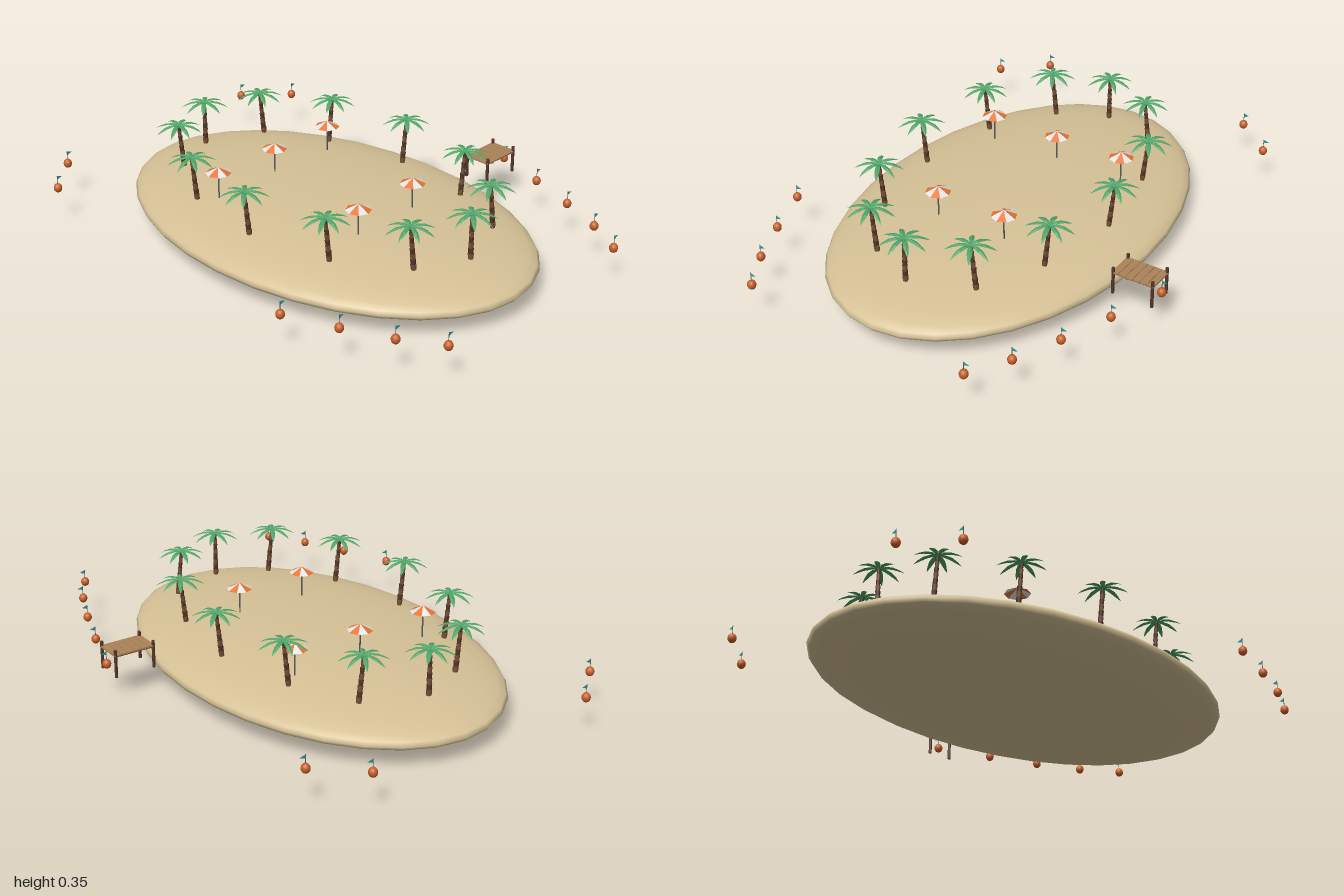
import * as THREE from 'three';

const mat = (name, color, extra = {}) => {
  const m = new THREE.MeshStandardMaterial({ color, ...extra });
  m.name = name;
  return m;
};

export function createModel() {
  const M = {
    sand: mat('sand', 0xd6c297),
    trunk: mat('trunk brown', 0x7a5236),
    dark: mat('dark wood', 0x53372a),
    leaf: mat('leaf green', 0x4fa468, { side: THREE.DoubleSide, flatShading: true }),
    orange: mat('parasol orange', 0xe87532, { side: THREE.DoubleSide, flatShading: true }),
    white: mat('parasol white', 0xe6e8ea, { side: THREE.DoubleSide, flatShading: true }),
    pole: mat('pole grey', 0x5c5c60),
    buoy: mat('buoy orange', 0xc8602a),
    flag: mat('flag teal', 0x2a9d9a, { side: THREE.DoubleSide }),
    plank: mat('plank tan', 0xab8358),
  };
  const root = new THREE.Group();
  root.name = 'islandBeach';
  const CX = -0.04;

  const add = (parent, name, geo, material, x = 0, y = 0, z = 0) => {
    const mesh = new THREE.Mesh(geo, material);
    mesh.name = name;
    mesh.position.set(x, y, z);
    parent.add(mesh);
    return mesh;
  };
  const group = (name, x, y, z) => {
    const g = new THREE.Group();
    g.name = name;
    g.position.set(x, y, z);
    root.add(g);
    return g;
  };

  // Island: flattened ellipsoid
  const island = new THREE.SphereGeometry(1, 32, 20).scale(0.58, 0.0925, 0.9);
  add(root, 'island', island, M.sand, CX, 0.0925, 0);

  // Palm frond: ridged, drooping leaf built from cross-sections [reach, height, half width]
  const sections = [[0, 0, 0.002], [0.026, 0.009, 0.009], [0.052, 0.005, 0.0095], [0.075, -0.006, 0.006], [0.092, -0.018, 0.0005]];
  const pos = [], idx = [];
  sections.forEach(([r, y, w], i) => {
    pos.push(r, y - w * 0.4, -w, r, y, 0, r, y - w * 0.4, w);
    if (i === 0) return;
    for (let k = 0; k < 2; k++) {
      const a = (i - 1) * 3 + k, b = i * 3 + k;
      idx.push(a, a + 1, b + 1, a, b + 1, b);
    }
  });
  const frond = new THREE.BufferGeometry();
  frond.setAttribute('position', new THREE.Float32BufferAttribute(pos, 3));
  frond.setIndex(idx);
  frond.computeVertexNormals();

  // Palms: twelve around an ellipse, slightly leaning banded trunks
  const BASE = 0.172, TRUNK = 0.174, BANDS = 8;
  for (let i = 0; i < 12; i++) {
    const a = (i * Math.PI) / 6;
    const c = Math.cos(a);
    const lean = Math.abs(c) < 0.1 ? 0 : c > 0.6 ? 0.02 : -0.02;
    const palm = group('palm', CX + 0.433 * c, BASE, 0.692 * Math.sin(a));
    for (let b = 0; b < BANDS; b++) {
      const t = (b + 0.5) / BANDS;
      const r = 0.0105 - 0.004 * t;
      const ring = add(palm, 'trunkBand', new THREE.CylinderGeometry(r + 0.0008, r - 0.0008, TRUNK / BANDS, 8),
        b % 2 ? M.dark : M.trunk, lean * (t - 1), TRUNK * t, 0);
      ring.rotation.z = -lean / TRUNK;
    }
    const crown = new THREE.Group();
    crown.name = 'crown';
    crown.position.y = TRUNK;
    crown.rotation.y = -a;
    palm.add(crown);
    for (let k = 0; k < 8; k++) add(crown, 'frond', frond, M.leaf).rotation.y = (k * Math.PI) / 4;
  }

  // Parasols: eight-sided canopy with alternating panels
  const panel = new THREE.ConeGeometry(0.049, 0.024, 1, 1, true, 0, Math.PI / 4);
  for (const [x, z] of [[-0.333, -0.292], [CX, -0.292], [0.25, -0.292], [-0.188, 0.29], [0.104, 0.29]]) {
    const parasol = group('parasol', x, 0, z);
    add(parasol, 'parasolPole', new THREE.CylinderGeometry(0.0028, 0.0028, 0.12, 8), M.pole, 0, 0.232, 0);
    for (let k = 0; k < 8; k++) {
      add(parasol, 'canopyPanel', panel, k % 2 ? M.white : M.orange, 0, 0.288, 0).rotation.y = (k * Math.PI) / 4;
    }
  }

  // Buoys: egg-shaped floats, each with a thin mast and pennant
  const float = new THREE.SphereGeometry(1, 14, 10).scale(0.0165, 0.0185, 0.0165);
  const pennant = new THREE.Shape([[0, 0.197], [0.023, 0.19], [0, 0.181]].map(([x, y]) => new THREE.Vector2(x, y)));
  const pennantGeo = new THREE.ShapeGeometry(pennant);
  const mast = new THREE.BoxGeometry(0.002, 0.04, 0.001);
  const spots = [[0.726, 0.23]];
  for (const [d, z] of [[0.47, -0.984], [0.631, -0.837], [0.695, 0.45], [0.621, 0.652], [0.544, 0.832], [0.455, 0.982]]) {
    spots.push([-0.043 + d, z], [-0.043 - d, z]);
  }
  for (const [x, z] of spots) {
    const buoy = group('buoy', x, 0, z);
    add(buoy, 'float', float, M.buoy, 0, 0.147, 0);
    add(buoy, 'mast', mast, M.pole, 0, 0.178, 0);
    add(buoy, 'pennant', pennantGeo, M.flag);
  }

  // Dock: planked deck on four posts
  const dock = group('dock', 0.637, 0, 0.229);
  for (let i = 0; i < 6; i++) {
    add(dock, 'plank', new THREE.BoxGeometry(0.0265, 0.006, 0.112), M.plank, (i - 2.5) * 0.0285, 0.196, 0);
  }
  for (const s of [-1, 1]) {
    add(dock, 'beam', new THREE.BoxGeometry(0.16, 0.006, 0.008), M.dark, 0, 0.19, s * 0.045);
    for (const t of [-1, 1]) {
      add(dock, 'post', new THREE.CylinderGeometry(0.0062, 0.0062, 0.107, 8), M.dark, t * 0.079, 0.1625, s * 0.051);
    }
  }
  return root;
}
